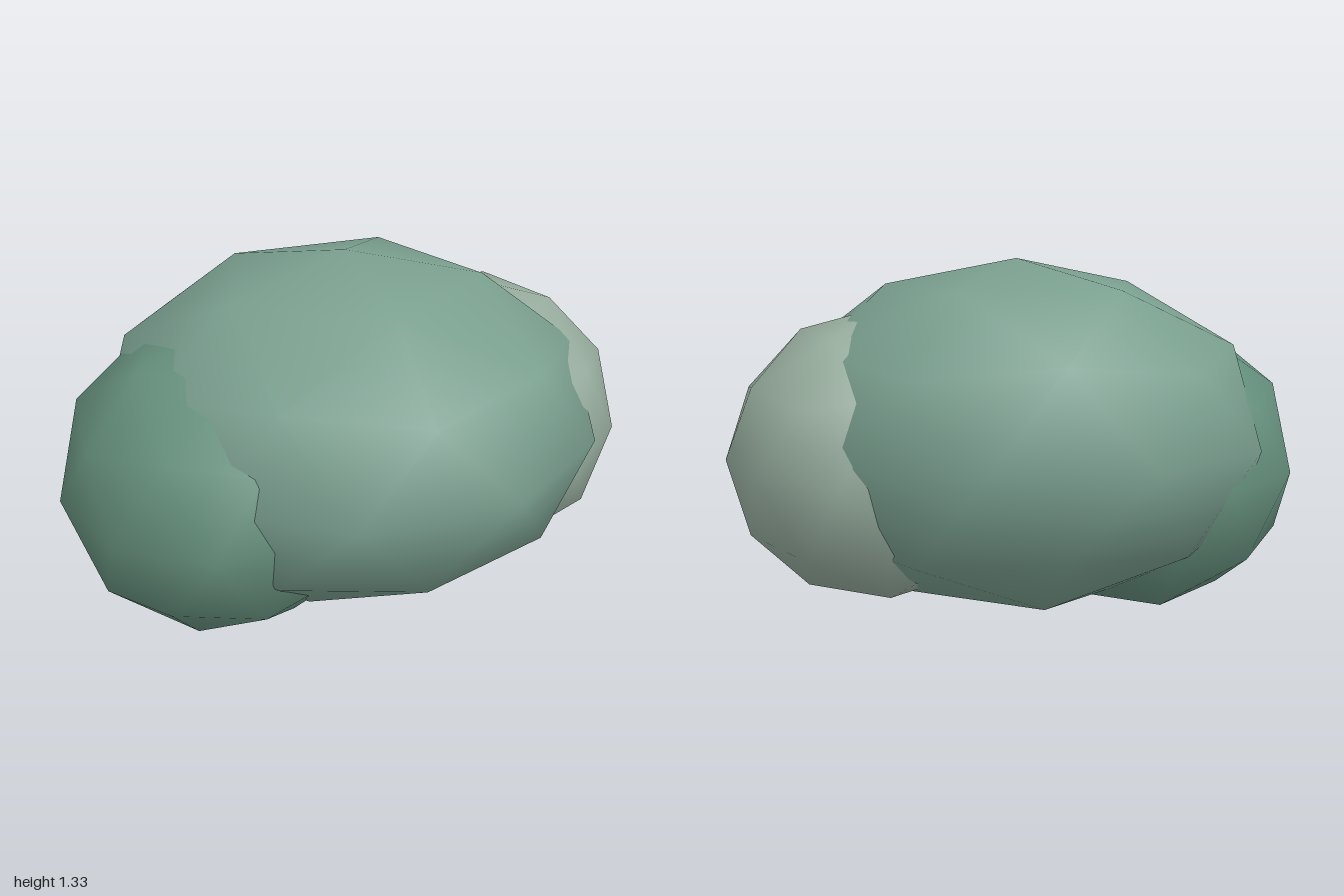
import * as THREE from 'three';

// Low-poly ellipsoid: an 80-face icosphere with a vertex at each pole
function blob(name, color, radii, centre) {
  const geometry = new THREE.IcosahedronGeometry(1, 1);
  geometry.rotateZ(-Math.atan(2 / (1 + Math.sqrt(5))));
  const mesh = new THREE.Mesh(geometry, new THREE.MeshStandardMaterial({ color }));
  mesh.name = name;
  mesh.scale.set(...radii);
  mesh.position.set(...centre);
  return mesh;
}

export function createModel() {
  const group = new THREE.Group();
  group.name = 'bush';
  group.add(
    // Large middle clump
    blob('mainFoliage', 0x7a9f8f, [0.92, 0.638, 0.828], [0, 0.693, 0]),
    // Darker clump, front right
    blob('rightFoliage', 0x658f7c, [0.578, 0.565, 0.62], [-0.45, 0.57, 0.175]),
    // Paler clump, back left
    blob('leftFoliage', 0x97ad9e, [0.552, 0.53, 0.58], [0.475, 0.63, -0.147])
  );
  return group;
}
